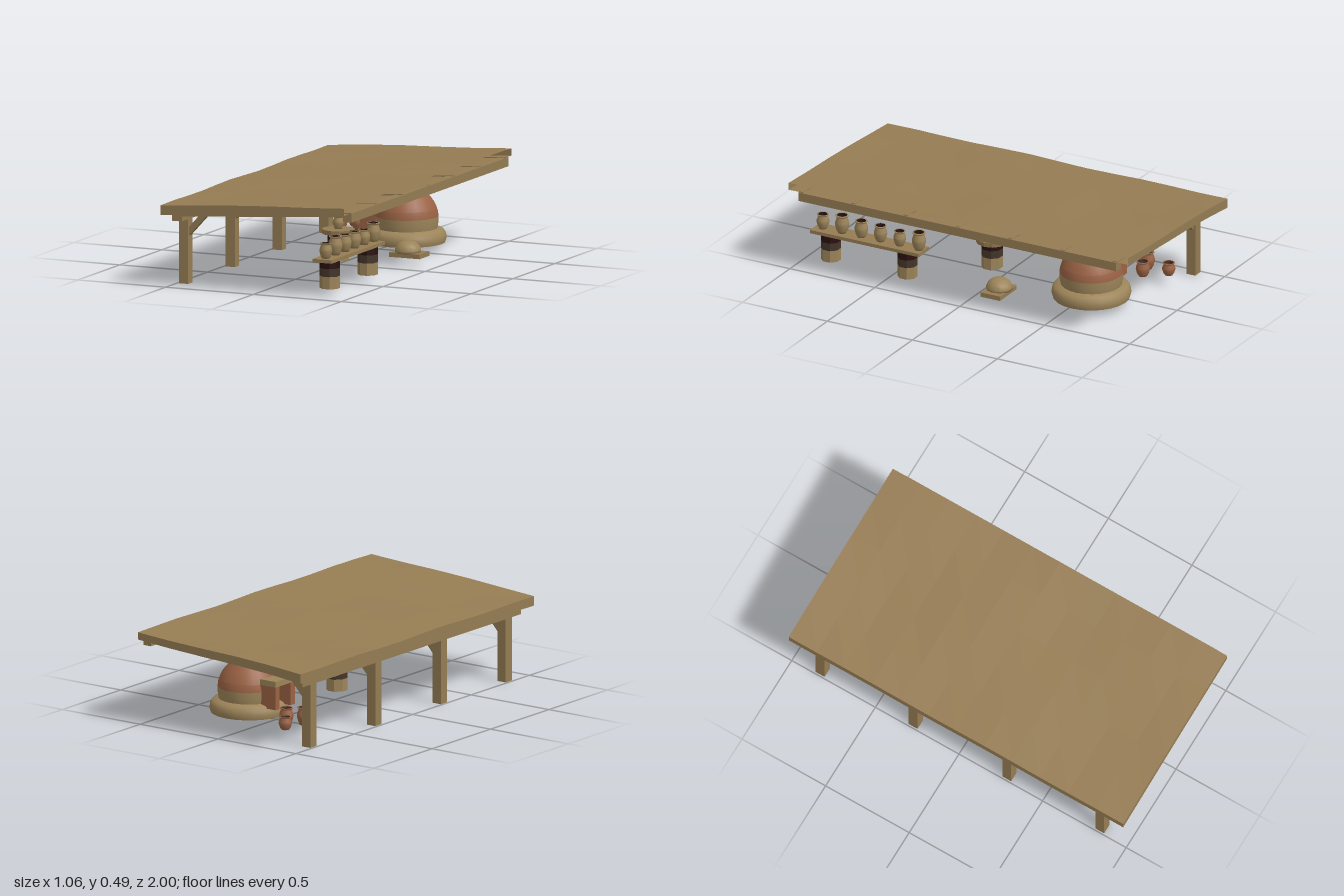
import * as THREE from 'three';

const mat = (name, color, side = THREE.DoubleSide) => Object.assign(new THREE.MeshStandardMaterial({ color, side }), { name });
const wood = mat('wood', 0x957c53);
const clay = mat('paleClay', 0x9c8459);
const terracotta = mat('terracotta', 0x9a6244);
const umber = mat('umber', 0x43352a);
const char = mat('charredRed', 0x2a100f);

export function createModel() {
  const model = new THREE.Group();
  model.name = 'potteryShelter';

  const add = (name, geometry, material, x = 0, y = 0, z = 0, parent = model) => {
    const mesh = new THREE.Mesh(geometry, material);
    mesh.name = name;
    mesh.position.set(x, y, z);
    parent.add(mesh);
    return mesh;
  };
  const box = (name, w, h, d, x, y, z, material = wood, parent = model) =>
    add(name, new THREE.BoxGeometry(w, h, d), material, x, y, z, parent);
  // Box beam running between two points in the xy plane
  const beam = (name, x1, y1, x2, y2, thick, depth, z) => {
    const b = box(name, Math.hypot(x2 - x1, y2 - y1), thick, depth, (x1 + x2) / 2, (y1 + y2) / 2, z);
    b.rotation.z = Math.atan2(y2 - y1, x2 - x1);
  };
  const lathe = (points, sides = 20, start = 0, length = Math.PI * 2) =>
    new THREE.LatheGeometry(points.map(p => new THREE.Vector2(...p)), sides, start, length);

  // Roof: a gently uneven sloping slab, open along its high edge
  const X0 = -0.53, X1 = 0.515;
  const ax = u => X0 + (X1 - X0) * u;
  const roofY = (u, z) => 0.425 + 0.063 * u
    + 0.005 * Math.sin(z * 5.2 + u * 4) * Math.sin(u * 3 + 0.3) + 0.003 * Math.sin(z * 9 - u * 5);
  const underY = (u, z) => roofY(u, z) - 0.05 + 0.012 * u;
  const sheet = (name, nu, nv, rule) => {
    const g = new THREE.PlaneGeometry(1, 1, nu, nv);
    const uv = g.attributes.uv;
    for (let i = 0; i < uv.count; i++) g.attributes.position.setXYZ(i, ...rule(uv.getX(i), uv.getY(i)));
    const flat = g.toNonIndexed();
    flat.computeVertexNormals();
    add(name, flat, wood);
  };
  const edge = (u, z, v) => [ax(u), underY(u, z) * (1 - v) + roofY(u, z) * v, z];
  sheet('roofTop', 5, 12, (u, v) => [ax(u), roofY(u, 1 - 2 * v), 1 - 2 * v]);
  sheet('roofUnderside', 5, 12, (u, v) => [ax(u), underY(u, 2 * v - 1), 2 * v - 1]);
  sheet('roofFrontEdge', 5, 1, (u, v) => edge(u, 1, v));
  sheet('roofBackEdge', 5, 1, (u, v) => edge(1 - u, -1, v));
  sheet('roofLowEdge', 12, 1, (u, v) => edge(0, 2 * u - 1, v));

  // Timber frame
  for (const z of [-0.836, -0.28, 0.28, 0.836]) {
    box('post', 0.053, 0.345, 0.053, -0.464, 0.1725, z);
    beam('brace', -0.455, 0.255, -0.34, 0.38, 0.031, 0.03, z);
  }
  box('lowPlate', 0.055, 0.04, 1.87, -0.466, 0.357, 0);
  box('highPlate', 0.047, 0.047, 1.87, 0.504, 0.427, 0);
  for (let i = -3; i <= 3; i++) beam('rafter', -0.478, 0.373, 0.522, 0.443, 0.024, 0.024, i * 0.308);

  // Kiln: open-bottomed domed shell with a gap for the doorway on -x
  const kiln = new THREE.Group();
  kiln.name = 'kiln';
  kiln.position.set(0.125, 0, -0.565);
  model.add(kiln);
  const gap = 0.42, start = Math.PI * 1.5 + gap, arc = Math.PI * 2 - gap * 2;
  add('kilnBase', lathe([[0.2, 0.04], [0.206, 0.06], [0.203, 0.085], [0.19, 0.105], [0.16, 0.114]], 24), clay, 0, 0, 0, kiln);
  add('kilnLowerBand', lathe([[0.16, 0.114], [0.164, 0.14], [0.164, 0.175]], 20, start, arc), clay, 0, 0, 0, kiln);
  add('kilnWall', lathe([[0.164, 0.175], [0.162, 0.195], [0.156, 0.215]], 20, start, arc), terracotta, 0, 0, 0, kiln);
  add('kilnDome', lathe([[0.156, 0.215], [0.143, 0.245], [0.122, 0.275], [0.097, 0.302]], 24), terracotta, 0, 0, 0, kiln);
  add('kilnUpperBand', lathe([[0.097, 0.302], [0.072, 0.32]], 24), clay, 0, 0, 0, kiln);
  add('kilnSootBand', lathe([[0.072, 0.32], [0.048, 0.333], [0.03, 0.342]], 24), umber, 0, 0, 0, kiln);
  add('kilnVent', lathe([[0.03, 0.338], [0.03, 0.345], [0.038, 0.35], [0.038, 0.36], [0.026, 0.361], [0.024, 0.34]], 16), clay, 0, 0, 0, kiln);
  for (const s of [-1, 1]) box('doorJamb', 0.1, 0.12, 0.035, -0.18, 0.155, s * 0.065, terracotta, kiln);
  box('doorLintel', 0.1, 0.03, 0.165, -0.18, 0.23, 0, clay, kiln);

  // Pots: outer wall with a rim, and a separate hollow lining
  const pot = (name, x, y, z, r, h, material) => {
    const g = new THREE.Group();
    g.name = name;
    g.position.set(x, y, z);
    model.add(g);
    const scale = ([a, b]) => [a * r, b * h];
    add('potBody', lathe([[0, 0], [0.6, 0], [0.82, 0.16], [1, 0.45], [0.98, 0.62], [0.76, 0.87],
      [0.78, 0.92], [0.92, 0.95], [0.92, 1], [0.72, 1]].map(scale), 12), material, 0, 0, 0, g);
    add('potInside', lathe([[0.72, 1], [0.66, 0.87], [0.8, 0.6], [0, 0.4]].map(scale), 12),
      material === clay ? char : umber, 0, 0, 0, g);
  };

  // Octagonal stump with charred upper bands
  const stump = (x, z, r, top) => {
    const g = new THREE.Group();
    g.name = 'stump';
    g.position.set(x, 0, z);
    model.add(g);
    const bands = [[0.036, 0.1, clay], [0.1, 0.142, umber], [0.142, top, char]];
    for (const [a, b, m] of bands) {
      const geo = new THREE.CylinderGeometry(r, r, b - a, 8, 1).toNonIndexed();
      geo.rotateY(Math.PI / 8);
      geo.computeVertexNormals();
      add('stumpBand', geo, m, 0, (a + b) / 2, 0, g);
    }
  };

  // Long shelf with six pots
  stump(0.358, 0.838, 0.052, 0.18);
  stump(0.358, 0.387, 0.052, 0.18);
  box('shelfPlank', 0.108, 0.018, 0.64, 0.358, 0.189, 0.612);
  [0.08, 0.098, 0.09, 0.088, 0.08, 0.097].forEach((h, i) =>
    pot('shelfPot', 0.358, 0.198, 0.885 - i * 0.113, 0.033 + (h - 0.08) * 0.2, h, clay));

  // Potter's wheel with a pot on it
  stump(0.038, 0.068, 0.056, 0.176);
  const wheel = new THREE.CylinderGeometry(0.086, 0.083, 0.024, 12).toNonIndexed();
  wheel.computeVertexNormals();
  add('wheelHead', wheel, wood, 0.038, 0.187, 0.068);
  pot('wheelPot', 0.038, 0.199, 0.068, 0.029, 0.066, clay);

  // Board with a mound of clay
  box('clayBoard', 0.175, 0.024, 0.115, 0.342, 0.057, -0.14);
  add('clayMound', lathe([[0, 0.066], [0.068, 0.066], [0.069, 0.08], [0.06, 0.102], [0.042, 0.118], [0.02, 0.125], [0, 0.126]], 14),
    clay, 0.335, 0, -0.14);

  // Fired pots beside the kiln
  pot('firedPot', -0.298, 0.052, -0.66, 0.037, 0.093, terracotta);
  pot('firedPot', -0.278, 0.052, -0.795, 0.034, 0.068, terracotta);
  pot('firedPot', -0.203, 0.052, -0.685, 0.037, 0.081, terracotta);

  return model;
}
